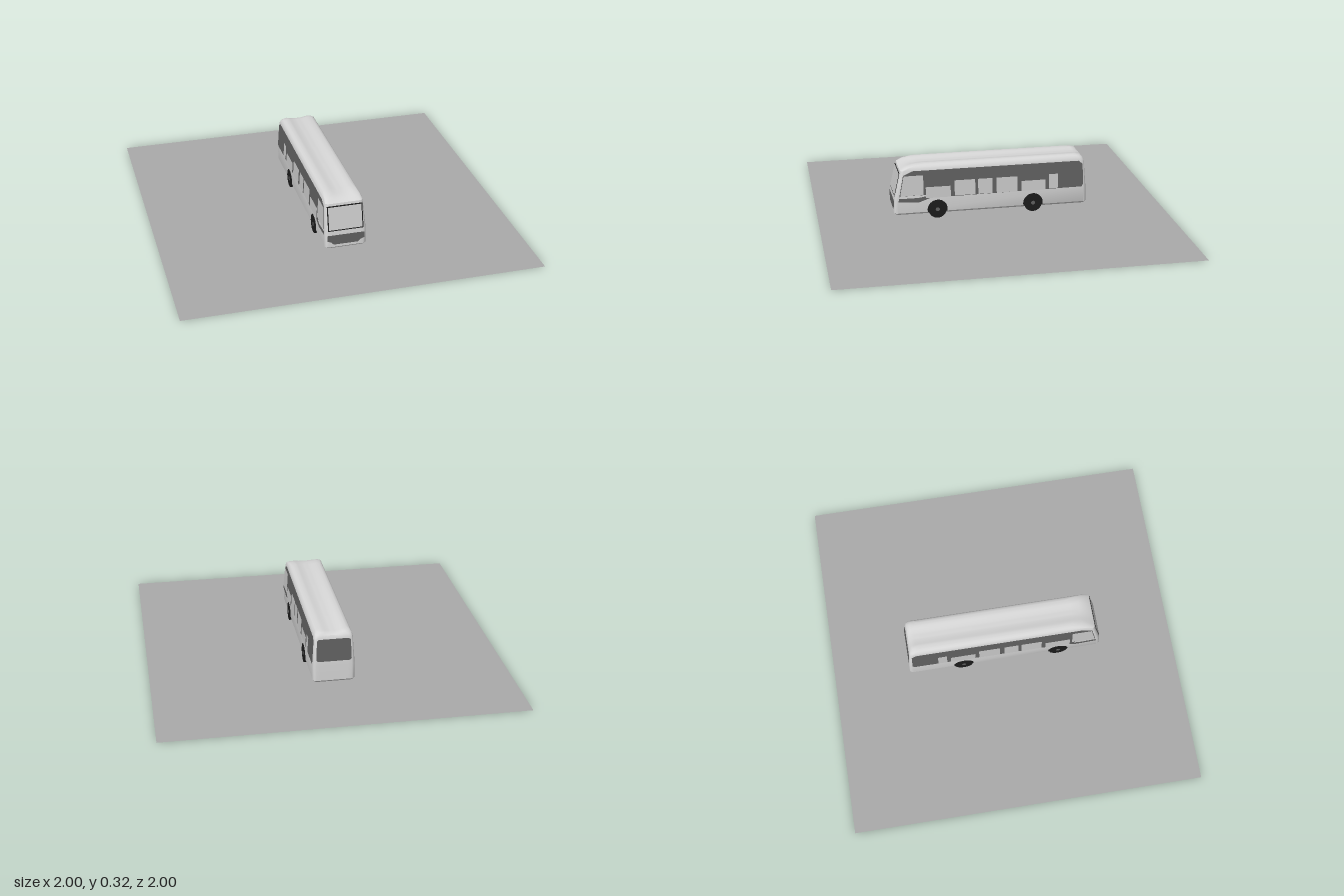
import * as THREE from 'three';
import { toCreasedNormals } from 'three/addons/utils/BufferGeometryUtils.js';

const material = (name, color, extra = {}) => {
  const m = new THREE.MeshStandardMaterial({ color, ...extra });
  m.name = name;
  return m;
};

// Body levels: y, half width, front z, back z, corner radius
const LEVELS = [
  [0.03, 0.11, 0.56, -0.552, 0.02],
  [0.04, 0.117, 0.57, -0.56, 0.02],
  [0.13, 0.118, 0.566, -0.558, 0.02],
  [0.29, 0.108, 0.53, -0.546, 0.02],
  [0.307, 0.103, 0.5, -0.538, 0.025],
  [0.318, 0.094, 0.46, -0.525, 0.03],
  [0.323, 0.08, 0.41, -0.5, 0.03],
];

// Interpolated body level at a height
function levelAt(y) {
  let i = 0;
  while (i < LEVELS.length - 2 && y > LEVELS[i + 1][0]) i++;
  const a = LEVELS[i], b = LEVELS[i + 1];
  const t = THREE.MathUtils.clamp((y - a[0]) / (b[0] - a[0]), 0, 1);
  return a.map((v, k) => THREE.MathUtils.lerp(v, b[k], t));
}

// Rounded rectangle outline: front edge left to right, then back edge right to left
function ring([y, hw, zf, zb, r]) {
  const half = [];
  for (let k = 0; k <= 4; k++) {
    const t = (k / 4) * Math.PI / 2;
    half.push([-hw + r - r * Math.cos(t), r - r * Math.sin(t)]);
  }
  for (let k = 1; k < 10; k++) half.push([(hw - r) * (k / 5 - 1), 0]);
  for (let k = 4; k >= 0; k--) half.push([-half[k][0], half[k][1]]);
  // Shallow trough along the middle of the roof
  const lift = (x) => y > 0.3 ? y - 0.01 * Math.max(0, 1 - (x / 0.06) ** 2) * Math.min(1, (y - 0.3) / 0.02) : y;
  const front = half.map(([x, d]) => [x, lift(x), zf - d]);
  const back = half.map(([x, d]) => [x, lift(x), zb + d]).reverse();
  return [...front, ...back];
}

// Shell lofted upwards through the levels, closed at floor and roof
function bodyGeometry() {
  const rings = LEVELS.map(ring);
  const n = rings[0].length;
  const index = [];
  for (let j = 0; j < rings.length - 1; j++) {
    for (let i = 0; i < n; i++) {
      const a = j * n + i, b = j * n + (i + 1) % n;
      index.push(a, b, b + n, a, b + n, a + n);
    }
  }
  const top = (rings.length - 1) * n;
  for (let i = 0; i < n / 2 - 1; i++) {
    const a = i, b = i + 1, c = n - 2 - i, d = n - 1 - i;
    index.push(top + a, top + b, top + c, top + a, top + c, top + d);
    index.push(a, c, b, a, d, c);
  }
  const g = new THREE.BufferGeometry();
  g.setAttribute('position', new THREE.Float32BufferAttribute(rings.flat(2), 3));
  g.setIndex(index);
  return toCreasedNormals(g, 0.6);
}

// Flat polygon wrapped onto one face of the body
function panelGeometry(points, place) {
  const g = new THREE.ShapeGeometry(new THREE.Shape(points.map(([u, v]) => new THREE.Vector2(u, v))));
  const p = g.attributes.position;
  for (let i = 0; i < p.count; i++) p.setXYZ(i, ...place(p.getX(i), p.getY(i)));
  g.computeVertexNormals();
  return g;
}
const sidePanel = (points, side, off) =>
  panelGeometry(points.map(([z, y]) => [-side * z, y]), (u, y) => [side * (levelAt(y)[1] + off), y, -side * u]);
const frontPanel = (points, off) => panelGeometry(points, (x, y) => [x, y, levelAt(y)[2] + off]);
const backPanel = (points, off) => panelGeometry(points, (x, y) => [-x, y, levelAt(y)[3] - off]);
const rect = (a, b, low, high) => [[a, low], [b, low], [b, high], [a, high]];

export function createModel() {
  const group = new THREE.Group();
  const paint = material('body paint', 0xd6d6d6);
  const glass = material('window glass', 0xcbcbcb);
  const dark = material('dark panel', 0x626262);
  const rubber = material('black rubber', 0x1c1c1c);
  const base = material('base grey', 0xaaaaaa, { side: THREE.DoubleSide });

  const add = (name, geometry, mat) => {
    const mesh = new THREE.Mesh(geometry, mat);
    mesh.name = name;
    group.add(mesh);
    return mesh;
  };

  // Square display base
  add('basePlate', new THREE.PlaneGeometry(2, 2).rotateX(-Math.PI / 2), base);

  add('body', bodyGeometry(), paint);

  // Side bands, windows, arches and wheels
  const band = [[0.545, 0.11], [0.43, 0.1], [0.36, 0.125], [-0.53, 0.133], [-0.538, 0.15],
    [-0.535, 0.27], [-0.51, 0.289], [0.46, 0.289], [0.515, 0.265]];
  const windows = [
    [0.387, 0.243, 0.125, 0.19], [0.22, 0.1, 0.13, 0.22], [0.083, 0, 0.13, 0.22],
    [-0.025, -0.147, 0.13, 0.22], [-0.17, -0.313, 0.13, 0.19], [-0.335, -0.387, 0.135, 0.22],
  ];
  for (const side of [1, -1]) {
    add('sideBand', sidePanel(band, side, 0.0012), dark);
    add('driverWindow', sidePanel([[0.4, 0.145], [0.535, 0.145], [0.512, 0.262], [0.4, 0.262]], side, 0.0028), glass);
    for (const w of windows) add('sideWindow', sidePanel(rect(...w), side, 0.0028), glass);

    for (const z of [0.32, -0.24]) {
      const arch = [];
      for (let k = 0; k <= 20; k++) {
        const t = -0.25 + (k / 20) * (Math.PI + 0.5);
        arch.push([z + 0.058 * Math.cos(t), 0.053 + 0.058 * Math.sin(t)]);
      }
      add('wheelArch', sidePanel(arch, side, 0.0018), rubber);

      const wheel = new THREE.Group();
      wheel.name = 'wheel';
      const tyre = new THREE.Mesh(new THREE.CylinderGeometry(0.052, 0.052, 0.055, 32).rotateZ(Math.PI / 2), rubber);
      tyre.name = 'tyre';
      const hub = new THREE.Mesh(new THREE.CylinderGeometry(0.012, 0.012, 0.058, 16).rotateZ(Math.PI / 2), dark);
      hub.name = 'hub';
      wheel.add(tyre, hub);
      wheel.position.set(side * 0.094, 0.053, z);
      group.add(wheel);
    }
  }

  // Front: windscreen in a dark surround, and the lower grille
  add('windscreenSurround', frontPanel(rect(-0.101, 0.101, 0.137, 0.277), 0.001), rubber);
  add('windscreen', frontPanel(rect(-0.095, 0.095, 0.143, 0.271), 0.0025), glass);
  add('grille', frontPanel([[-0.07, 0.055], [0.07, 0.055], [0.085, 0.07], [0.106, 0.078],
    [0.106, 0.112], [-0.106, 0.112], [-0.106, 0.078], [-0.085, 0.07]], 0.0015), dark);

  // Rear window
  add('rearWindow', backPanel([[-0.098, 0.165], [-0.09, 0.155], [0.09, 0.155], [0.098, 0.165],
    [0.094, 0.275], [0.084, 0.285], [-0.084, 0.285], [-0.094, 0.275]], 0.0015), dark);

  return group;
}
